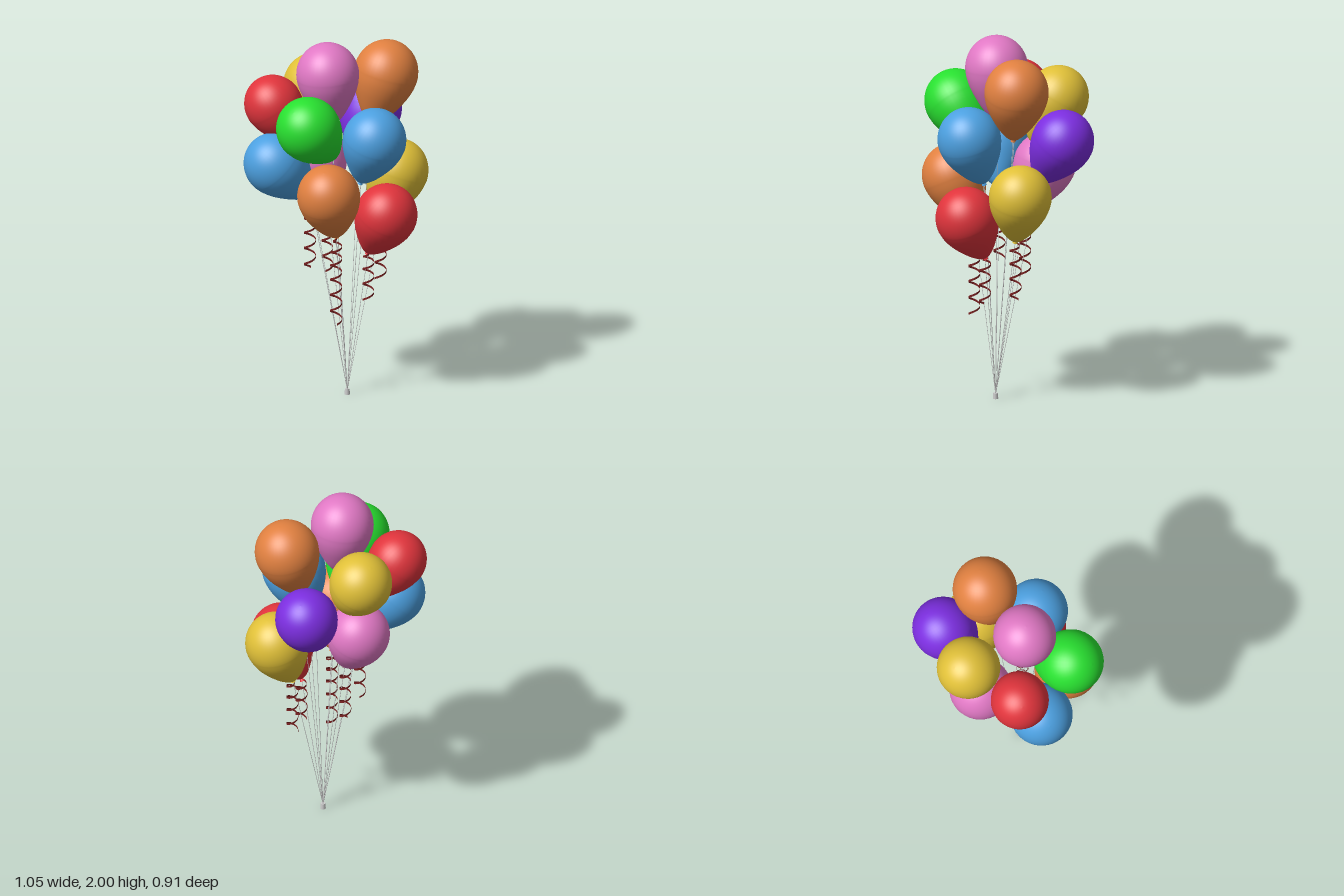
import * as THREE from 'three';

const PINK = 0xe078c4, ORANGE = 0xe08040, GREEN = 0x28e030, BLUE = 0x4ca0e0,
  PURPLE = 0x7c2ee0, RED = 0xe0343c, YELLOW = 0xe0c038, RIBBON = 0x7a2020;
const ANCHOR = new THREE.Vector3(-0.025, 0.025, 0.05);

// name, colour, centre of the bulb, neck tip, radius, ribbon length (0 = none)
const BALLOONS = [
  ['pinkTop', PINK, [-0.105, 1.825, -0.02], [-0.085, 1.54, -0.01], 0.17, 0],
  ['orangeTop', ORANGE, [0.228, 1.78, 0.105], [0.155, 1.5, 0.07], 0.174, 0],
  ['greenLeft', GREEN, [-0.35, 1.595, 0.06], [-0.14, 1.385, 0.05], 0.174, 0],
  ['blueFront', BLUE, [-0.015, 1.485, 0.237], [-0.015, 1.23, 0.14], 0.172, 0],
  ['purpleRight', PURPLE, [0.35, 1.495, -0.115], [0.2, 1.25, -0.07], 0.169, 0],
  ['redBack', RED, [-0.243, 1.63, -0.287], [-0.14, 1.4, -0.17], 0.157, 0],
  ['yellowBack', YELLOW, [0.087, 1.655, -0.285], [0.04, 1.42, -0.15], 0.169, 0],
  ['blueBack', BLUE, [-0.325, 1.33, -0.2], [-0.17, 1.14, -0.09], 0.169, 0.42],
  ['pinkBack', PINK, [0.04, 1.28, -0.235], [0.01, 1.03, -0.125], 0.169, 0.37],
  ['orangeFront', ORANGE, [-0.277, 1.21, 0.14], [-0.16, 0.95, 0.09], 0.17, 0.5],
  ['redFront', RED, [0.025, 1.06, 0.285], [0.022, 0.825, 0.16], 0.169, 0.27],
  ['yellowRight', YELLOW, [0.29, 1.21, 0.128], [0.2, 0.945, 0.09], 0.17, 0.34],
];

const material = (color) => new THREE.MeshStandardMaterial({ color, side: THREE.DoubleSide });

function addMesh(parent, name, geometry, mat) {
  const mesh = new THREE.Mesh(geometry, mat);
  mesh.name = name;
  parent.add(mesh);
  return mesh;
}

// Teardrop profile: tapering lower half below the widest ring, rounded dome above
function bulbGeometry(radius, drop) {
  const lower = new THREE.SplineCurve([
    [0.06, -1], [0.22, -0.95], [0.5, -0.75], [0.8, -0.44], [0.95, -0.2], [1, 0],
  ].map(([r, y]) => new THREE.Vector2(r * radius, y * drop))).getPoints(20);
  const dome = [];
  for (let i = 1; i <= 16; i++) {
    const a = (i / 16) * Math.PI / 2;
    dome.push(new THREE.Vector2(Math.max(0, Math.cos(a)) * radius, Math.sin(a) * radius * 1.05));
  }
  return new THREE.LatheGeometry([...lower, ...dome], 40);
}

// Flat strip winding down a helix whose turns loosen towards the end
function ribbonGeometry(length, phase) {
  const steps = 140, turns = length * 13, positions = [], index = [];
  for (let i = 0; i <= steps; i++) {
    const t = i / steps;
    const a = phase + turns * Math.PI * 2 * Math.pow(t, 0.8);
    const r = 0.032 * Math.min(1, t * 8);
    const y = -length * t;
    const x = Math.cos(a) * r, z = Math.sin(a) * r;
    positions.push(x, y + 0.006, z, x, y - 0.006, z);
    if (i < steps) {
      const k = i * 2;
      index.push(k, k + 1, k + 2, k + 1, k + 3, k + 2);
    }
  }
  const geometry = new THREE.BufferGeometry();
  geometry.setAttribute('position', new THREE.Float32BufferAttribute(positions, 3));
  geometry.setIndex(index);
  geometry.computeVertexNormals();
  return geometry;
}

export function createModel() {
  const model = new THREE.Group();
  model.name = 'balloonBunch';
  const grey = material(0xcccccc), ribbonMat = material(RIBBON);
  const up = new THREE.Vector3(0, 1, 0);

  BALLOONS.forEach(([name, color, c, t, radius, ribbonLength], i) => {
    const centre = new THREE.Vector3(...c), tip = new THREE.Vector3(...t);
    const mat = material(color);

    // Balloon with its knot, leaning along the line from tip to centre
    const balloon = new THREE.Group();
    balloon.name = name + 'Balloon';
    const axis = centre.clone().sub(tip);
    const drop = axis.length();
    balloon.position.copy(centre);
    balloon.quaternion.setFromUnitVectors(up, axis.normalize());
    addMesh(balloon, 'bulb', bulbGeometry(radius, drop), mat);
    const knot = addMesh(balloon, 'knot', new THREE.CylinderGeometry(0.006, 0.014, 0.018, 16), mat);
    knot.position.y = -drop - 0.006;
    model.add(balloon);

    // String running down to the clip
    const path = new THREE.LineCurve3(ANCHOR, tip);
    addMesh(model, name + 'String', new THREE.TubeGeometry(path, 1, 0.0016, 6), grey);

    // Curled ribbon hanging from the knot
    if (ribbonLength) {
      const ribbon = addMesh(model, name + 'Ribbon', ribbonGeometry(ribbonLength, i * 1.3), ribbonMat);
      ribbon.position.copy(tip);
    }
  });

  // Clip gathering the strings
  const clip = addMesh(model, 'clip', new THREE.CylinderGeometry(0.013, 0.015, 0.032, 12), grey);
  clip.position.set(ANCHOR.x, 0.016, ANCHOR.z);
  return model;
}
